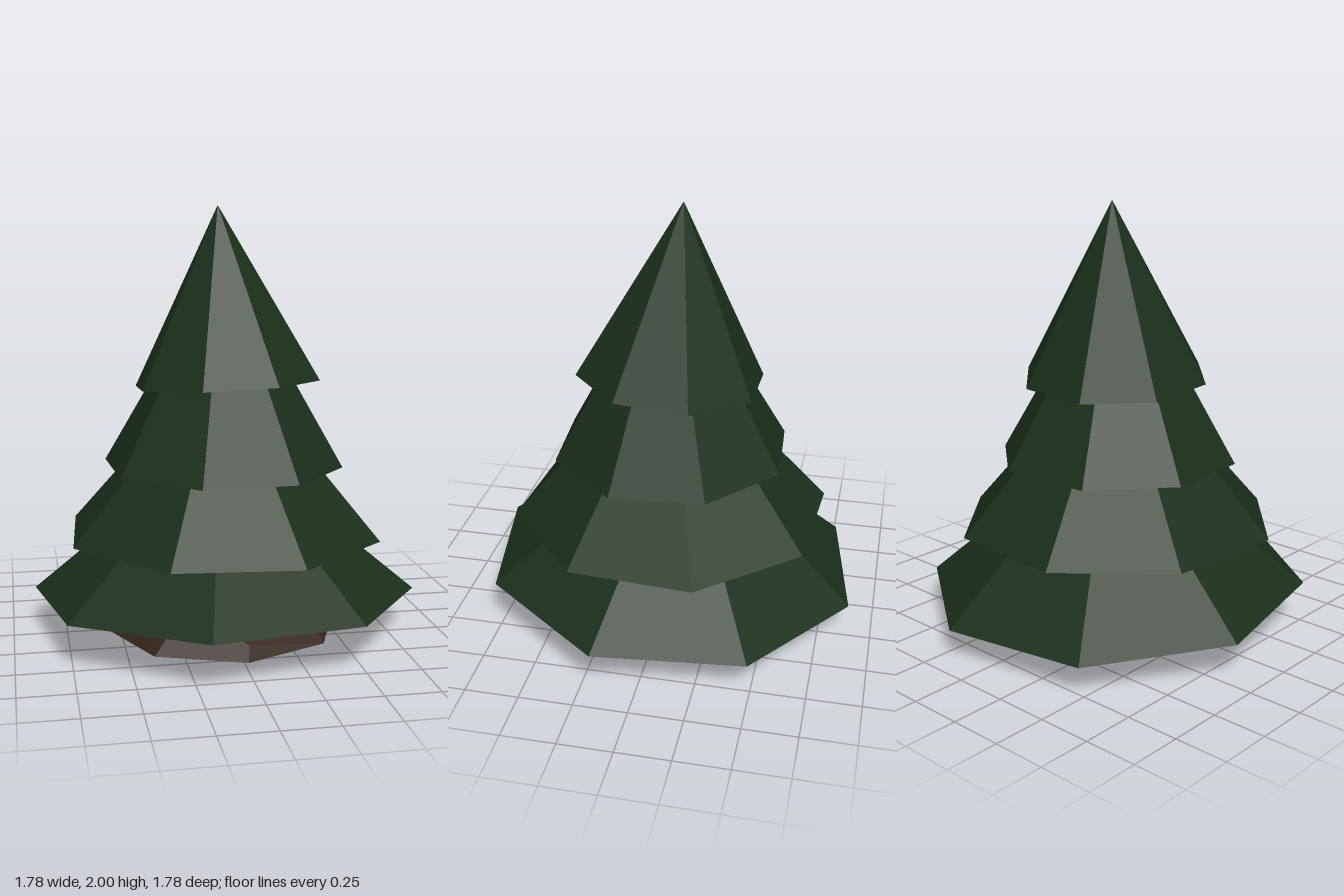
import * as THREE from 'three';

const SIDES = 8;

const flat = (color) => new THREE.MeshStandardMaterial({ color, flatShading: true });

// Eight-sided solid from rings of [radius, height, twist in degrees]
function turnedSolid(rings) {
  const geometry = new THREE.LatheGeometry(rings.map(([r, y]) => new THREE.Vector2(r, y)), SIDES);
  const pos = geometry.attributes.position;
  const up = new THREE.Vector3(0, 1, 0);
  const v = new THREE.Vector3();
  for (let i = 0; i < pos.count; i++) {
    const twist = THREE.MathUtils.degToRad(rings[i % rings.length][2]);
    v.fromBufferAttribute(pos, i).applyAxisAngle(up, twist);
    pos.setXYZ(i, v.x, v.y, v.z);
  }
  return geometry;
}

export function createModel() {
  const tree = new THREE.Group();
  tree.name = 'pineTree';
  const green = flat(0x1a2f1a);
  const brown = flat(0x35251b);

  // Trunk: flared, slightly twisted foot that runs up into the lowest tier
  const trunk = new THREE.Mesh(turnedSolid([
    [0, 0, 2], [0.56, 0, 2], [0.503, 0.06, 4], [0.42, 0.22, -4], [0.4, 0.36, -4], [0, 0.36, -4],
  ]), brown);
  trunk.name = 'trunk';
  trunk.position.set(0, 0, -0.017);
  tree.add(trunk);

  // Foliage: cones with a hollowed underside, each turned and leaning a little
  // turn = degrees of a corner from +x towards +z; slopes = rise of the rim along x and z
  const tiers = [
    { name: 'bottomTier', r: 0.912, h: 0.75, hollow: 0.18, at: [0, 0.178, 0], turn: 12.7, slopeX: 0, slopeZ: 0.053 },
    { name: 'lowerTier', r: 0.76, h: 0.86, hollow: 0.15, at: [-0.004, 0.475, 0.01], turn: 26.8, slopeX: -0.006, slopeZ: -0.003 },
    { name: 'upperTier', r: 0.568, h: 0.98, hollow: 0.26, at: [-0.004, 0.795, 0.01], turn: 18.6, slopeX: -0.004, slopeZ: -0.005 },
    { name: 'topTier', r: 0.444, h: 0.824, hollow: 0.25, at: [0.014, 1.178, 0.014], turn: 23.5, slopeX: 0.037, slopeZ: 0.064 },
  ];
  for (const { name, r, h, hollow, at, turn, slopeX, slopeZ } of tiers) {
    const twist = 45 - turn;
    const tier = new THREE.Mesh(turnedSolid([[0, hollow, twist], [r, 0, twist], [0, h, twist]]), green);
    tier.name = name;
    tier.position.set(...at);
    tier.rotation.set(-slopeZ, 0, slopeX);
    tree.add(tier);
  }

  return tree;
}
